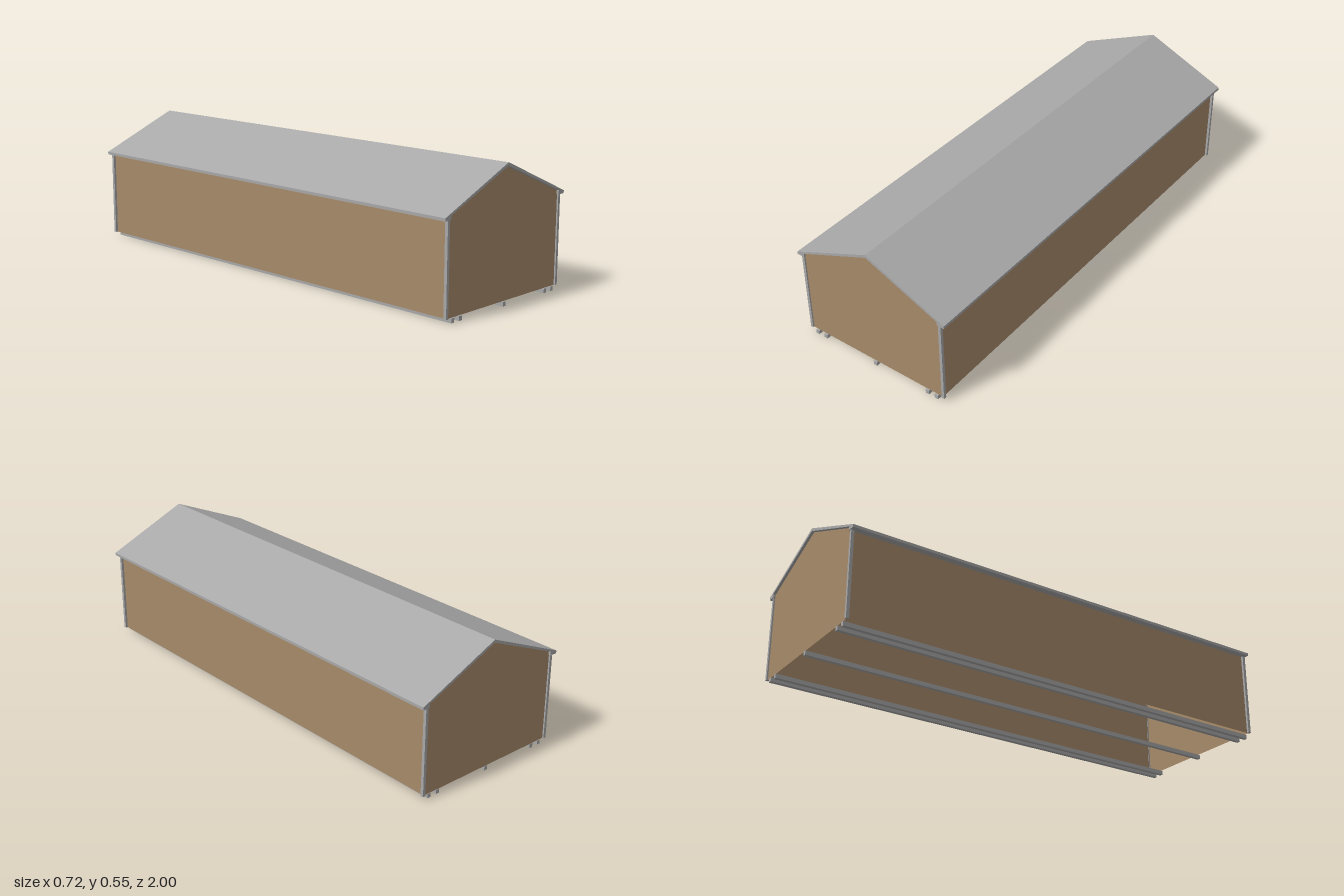
import * as THREE from 'three';

const grey = new THREE.MeshStandardMaterial({ color: 0xa8a8a8 });
grey.name = 'grey metal';
const brown = new THREE.MeshStandardMaterial({ color: 0xa68a69, side: THREE.DoubleSide });
brown.name = 'brown siding';

const WALL_X = 0.333, WALL_Z = 0.99, FLOOR = 0.018, EAVE = 0.398, RIDGE = 0.538;

export function createModel() {
  const group = new THREE.Group();
  const add = (name, geometry, material, x = 0, y = 0, z = 0) => {
    const mesh = new THREE.Mesh(geometry, material);
    mesh.name = name;
    mesh.position.set(x, y, z);
    group.add(mesh);
    return mesh;
  };
  const shape = (points) => new THREE.Shape(points.map(([x, y]) => new THREE.Vector2(x, y)));

  // Thin gable walls, open underneath
  const gable = new THREE.ShapeGeometry(shape([
    [-WALL_X, FLOOR], [WALL_X, FLOOR], [WALL_X, EAVE], [0, RIDGE], [-WALL_X, EAVE],
  ]));
  add('frontWall', gable, brown, 0, 0, WALL_Z);
  add('backWall', gable, brown, 0, 0, -WALL_Z).rotation.y = Math.PI;

  // Roof shell with a boxed eave on each side
  const roof = new THREE.ExtrudeGeometry(shape([
    [-0.362, 0.385], [-WALL_X, 0.385], [-WALL_X, 0.4], [0, 0.54], [WALL_X, 0.4],
    [WALL_X, 0.385], [0.362, 0.385], [0.362, 0.397], [0, 0.553], [-0.362, 0.397],
  ]), { depth: 2, bevelEnabled: false });
  add('roof', roof, grey, 0, 0, -1);

  const slope = Math.hypot(WALL_X, RIDGE - EAVE);
  const pitch = Math.atan2(RIDGE - EAVE, WALL_X);
  for (const s of [-1, 1]) {
    const side = s > 0 ? 'left' : 'right';

    // Long side wall
    const wall = new THREE.PlaneGeometry(2 * WALL_Z, EAVE - FLOOR);
    add(side + 'Wall', wall, brown, s * WALL_X, (EAVE + FLOOR) / 2, 0).rotation.y = s * Math.PI / 2;

    // Sloping ceiling under the roof
    const ceiling = new THREE.PlaneGeometry(slope, 2 * WALL_Z).rotateX(Math.PI / 2);
    add(side + 'Ceiling', ceiling, brown, s * WALL_X / 2, (EAVE + RIDGE) / 2, 0).rotation.z = -s * pitch;

    // Corner trims and the short eave returns at both ends
    for (const e of [-1, 1]) {
      const end = e > 0 ? 'Front' : 'Back';
      const trim = new THREE.BoxGeometry(0.012, 0.367, 0.013);
      add(side + end + 'CornerTrim', trim, grey, s * 0.337, 0.2015, e * 0.99);
      const eaveReturn = new THREE.BoxGeometry(0.006, 0.015, 0.009);
      add(side + end + 'EaveReturn', eaveReturn, grey, s * 0.331, 0.3925, e * 0.995);
    }
  }

  // Skids running the full length
  for (const x of [-0.306, -0.262, 0, 0.262, 0.306]) {
    add('skid', new THREE.BoxGeometry(0.016, FLOOR, 1.99), grey, x, FLOOR / 2, 0.003);
  }
  return group;
}
